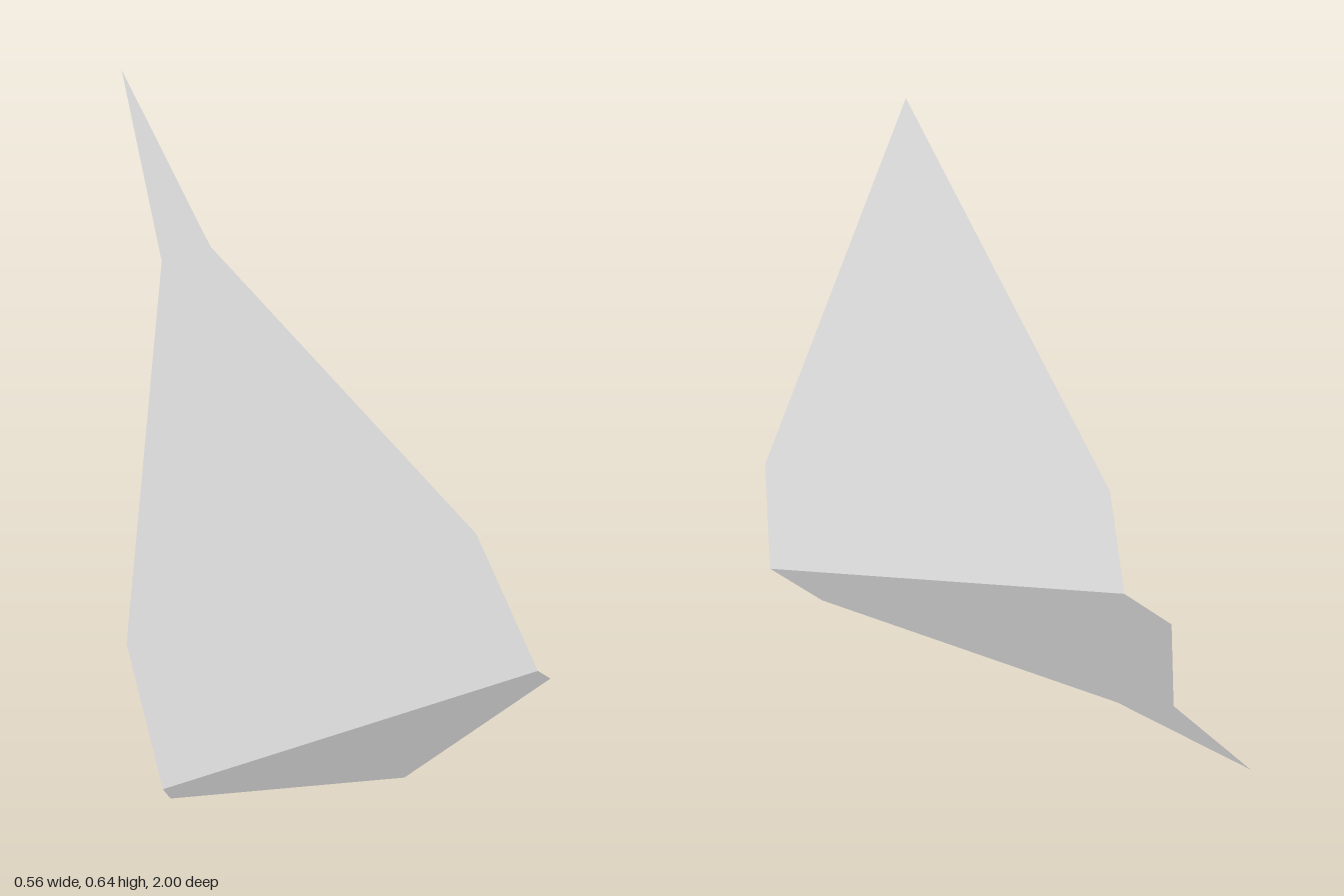
import * as THREE from 'three';

const FOLD_Z = 0.205;

// Height of the sheet: a tilted crease with both panels rising away from it
const height = (x, z) => 0.2455 * (x + 0.27) + 0.502 * Math.abs(z - FOLD_Z);

// Flat panel from rows of [z, right edge x, left edge x], running front to back
function panel(name, rows, material) {
  const pos = [];
  const point = (x, z) => pos.push(x, height(x, z), z);
  for (let i = 0; i < rows.length - 1; i++) {
    const [z0, a0, b0] = rows[i];
    const [z1, a1, b1] = rows[i + 1];
    if (a0 !== b0) { point(a0, z0); point(b0, z0); point(b1, z1); }
    if (a1 !== b1) { point(a0, z0); point(b1, z1); point(a1, z1); }
  }
  const geometry = new THREE.BufferGeometry();
  geometry.setAttribute('position', new THREE.Float32BufferAttribute(pos, 3));
  geometry.computeVertexNormals();
  const mesh = new THREE.Mesh(geometry, material);
  mesh.name = name;
  return mesh;
}

export function createModel() {
  const model = new THREE.Group();
  model.name = 'foldedLeaf';
  const grey = new THREE.MeshStandardMaterial({ color: 0xcccccc, side: THREE.DoubleSide });
  grey.name = 'light grey';

  // Short pointed panel in front of the crease
  model.add(panel('frontPanel', [
    [1, -0.09, -0.09],
    [0.367, -0.283, 0.258],
    [FOLD_Z, -0.268, 0.281],
  ], grey));

  // Long panel behind the crease, narrowing to a thin stem
  model.add(panel('backPanel', [
    [FOLD_Z, -0.268, 0.281],
    [-0.03, -0.281, 0.243],
    [-0.635, -0.123, -0.046],
    [-1, -0.125, -0.125],
  ], grey));

  return model;
}
